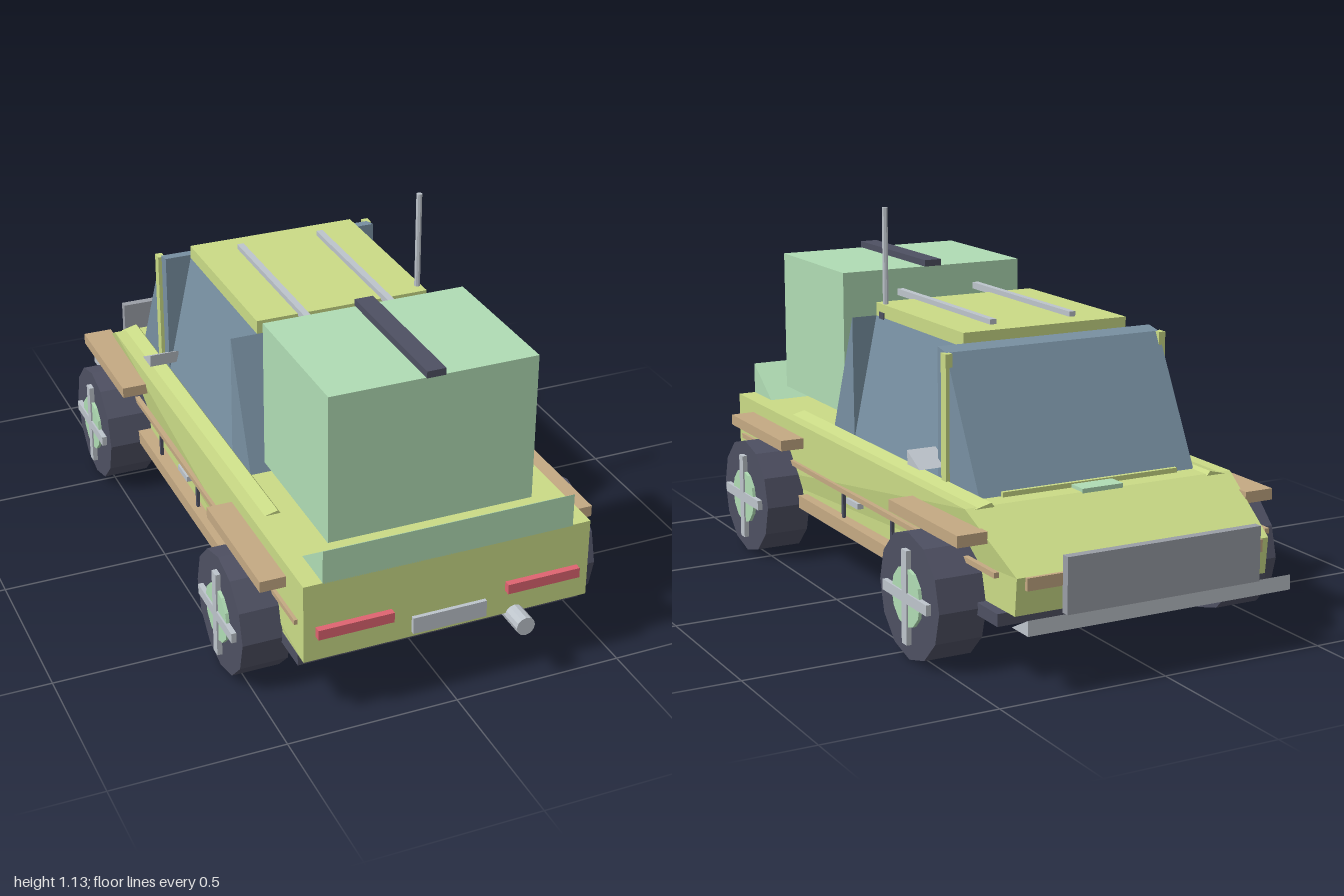
import * as THREE from 'three';

export function createModel() {
  const car = new THREE.Group();
  car.name = 'car';
  const paint = (color) => new THREE.MeshStandardMaterial({ color, flatShading: true });
  const lime = paint(0xcadb86), green = paint(0xb0dcb4), glass = paint(0x7890a2), dark = paint(0x4e5062);
  const tan = paint(0xc4a983), grey = paint(0xbdc4cb), steel = paint(0x9a9ea6), red = paint(0xdf6470);

  const add = (name, geometry, material) => {
    const mesh = new THREE.Mesh(geometry, material);
    mesh.name = name;
    car.add(mesh);
    return mesh;
  };
  // Box given by its limits on each axis
  const box = (name, m, x0, x1, y0, y1, z0, z1) =>
    add(name, new THREE.BoxGeometry(x1 - x0, y1 - y0, z1 - z0)
      .translate((x0 + x1) / 2, (y0 + y1) / 2, (z0 + z1) / 2), m);
  // Side profile of [z, y] points extruded across x
  const prism = (name, m, points, x0, x1) => {
    const shape = new THREE.Shape(points.map(([z, y]) => new THREE.Vector2(z, y)));
    const g = new THREE.ExtrudeGeometry(shape, { depth: x1 - x0, bevelEnabled: false });
    return add(name, g.rotateY(-Math.PI / 2).translate(x1, 0, 0), m);
  };
  // Cross-section of [x, y] points extruded along z
  const section = (name, m, points, z0, z1) => {
    const shape = new THREE.Shape(points.map(([x, y]) => new THREE.Vector2(x, y)));
    const g = new THREE.ExtrudeGeometry(shape, { depth: z1 - z0, bevelEnabled: false });
    return add(name, g.translate(0, 0, z0), m);
  };

  // Chassis and body with sloping, slightly narrowing hood
  box('chassis', dark, -0.425, 0.425, 0.16, 0.195, -0.85, 0.89);
  const body = prism('body', lime,
    [[0.93, 0.195], [0.93, 0.433], [-0.67, 0.433], [-0.9, 0.3], [-0.89, 0.195]], -0.425, 0.425);
  const p = body.geometry.attributes.position;
  for (let i = 0; i < p.count; i++) if (p.getZ(i) < -0.8) p.setX(i, p.getX(i) * 0.93);
  body.geometry.computeVertexNormals();

  // Cab: leaning side glass, windscreen and rear window wedges, roof
  section('sideGlass', glass, [[-0.345, 0.43], [0.345, 0.43], [0.265, 0.8], [-0.265, 0.8]], -0.4, 0.2);
  prism('windscreen', glass, [[-0.36, 0.43], [-0.605, 0.43], [-0.41, 0.8], [-0.36, 0.81]], -0.345, 0.345);
  prism('rearWindow', glass, [[0.345, 0.43], [0.2, 0.8], [0.195, 0.43]], -0.345, 0.345);
  box('roof', lime, -0.265, 0.265, 0.795, 0.84, -0.36, 0.2);

  // Load, strap and tail wedge
  box('cargoBox', green, -0.305, 0.305, 0.47, 0.91, 0.35, 0.81);
  box('cargoStrap', dark, -0.028, 0.028, 0.91, 0.93, 0.345, 0.815);
  prism('tailWedge', green, [[0.93, 0.43], [0.93, 0.53], [0.785, 0.43]], -0.37, 0.37);

  // Hood vent and cowl
  box('hoodVent', green, -0.065, 0.065, 0.43, 0.443, -0.675, -0.605);
  box('cowl', lime, -0.28, 0.28, 0.43, 0.447, -0.617, -0.605);

  // Front plate, blade and grille
  box('frontPlate', steel, -0.3, 0.3, 0.215, 0.37, -0.995, -0.97);
  prism('frontBlade', grey, [[-0.9, 0.172], [-0.985, 0.172], [-0.985, 0.215]], -0.41, 0.41);
  box('bladeMount', dark, -0.2, 0.2, 0.175, 0.2, -0.95, -0.84);
  box('grille', dark, -0.14, 0.14, 0.22, 0.29, -0.925, -0.88);
  box('grilleBadge', tan, -0.04, 0.04, 0.275, 0.297, -0.927, -0.89);

  // Rear plate, exhaust and antenna
  box('rearPlate', grey, -0.11, 0.11, 0.21, 0.26, 0.925, 0.942);
  add('exhaust', new THREE.CylinderGeometry(0.028, 0.028, 0.1, 12).rotateX(Math.PI / 2)
    .translate(0.202, 0.188, 0.95), grey);
  add('antenna', new THREE.CylinderGeometry(0.009, 0.009, 0.33, 8).translate(0.253, 0.965, 0.16), grey);
  box('antennaBase', dark, 0.238, 0.268, 0.795, 0.815, 0.145, 0.175);

  for (const s of [-1, 1]) {
    const side = (name, m, x0, x1, ...rest) =>
      box(name, m, Math.min(s * x0, s * x1), Math.max(s * x0, s * x1), ...rest);

    // Side trim, doors and pillars
    side('trimStrip', tan, 0.42, 0.435, 0.293, 0.308, -0.85, 0.89);
    side('sill', tan, 0.4, 0.445, 0.175, 0.215, -0.4, 0.4);
    side('doorGap', dark, 0.42, 0.429, 0.215, 0.293, 0.1, 0.112);
    side('doorGap', dark, 0.42, 0.429, 0.215, 0.293, -0.232, -0.22);
    side('doorHandle', grey, 0.42, 0.44, 0.273, 0.29, -0.025, 0.055);
    side('pillar', lime, 0.335, 0.356, 0.43, 0.8, -0.43, -0.4);
    section('shoulder', lime, [[s * 0.34, 0.43], [s * 0.4, 0.43], [s * 0.35, 0.443]], -0.68, 0.565);
    side('roofRail', grey, 0.12, 0.14, 0.835, 0.855, -0.285, 0.31);
    side('headlight', tan, 0.2, 0.37, 0.265, 0.3, -0.91, -0.87);
    side('tailLight', red, 0.17, 0.39, 0.27, 0.3, 0.925, 0.95);
    prism('mirror', grey, [[-0.315, 0.515], [-0.32, 0.475], [-0.395, 0.475]],
      s > 0 ? 0.33 : -0.42, s > 0 ? 0.42 : -0.33);

    // Fenders
    side('rearFender', tan, 0.41, 0.5, 0.362, 0.395, 0.4, 0.81);
    side('frontFender', tan, 0.41, 0.5, 0.362, 0.395, -0.77, -0.36);

    // Twelve-sided wheels with hub and crossed spokes
    for (const z of [0.6, -0.565]) {
      const wheel = new THREE.Group();
      wheel.name = 'wheel';
      const part = (name, g, m, x) => {
        const mesh = new THREE.Mesh(g, m);
        mesh.name = name;
        mesh.position.x = s * x;
        wheel.add(mesh);
      };
      part('tyre', new THREE.CylinderGeometry(0.179, 0.179, 0.14, 12).rotateZ(Math.PI / 2), dark, 0.47);
      part('hub', new THREE.CylinderGeometry(0.085, 0.085, 0.04, 12).rotateZ(Math.PI / 2), green, 0.53);
      part('spoke', new THREE.BoxGeometry(0.03, 0.265, 0.03), grey, 0.54);
      part('spoke', new THREE.BoxGeometry(0.03, 0.03, 0.265), grey, 0.54);
      wheel.position.set(0, 0.179, z);
      car.add(wheel);
    }
  }
  return car;
}
